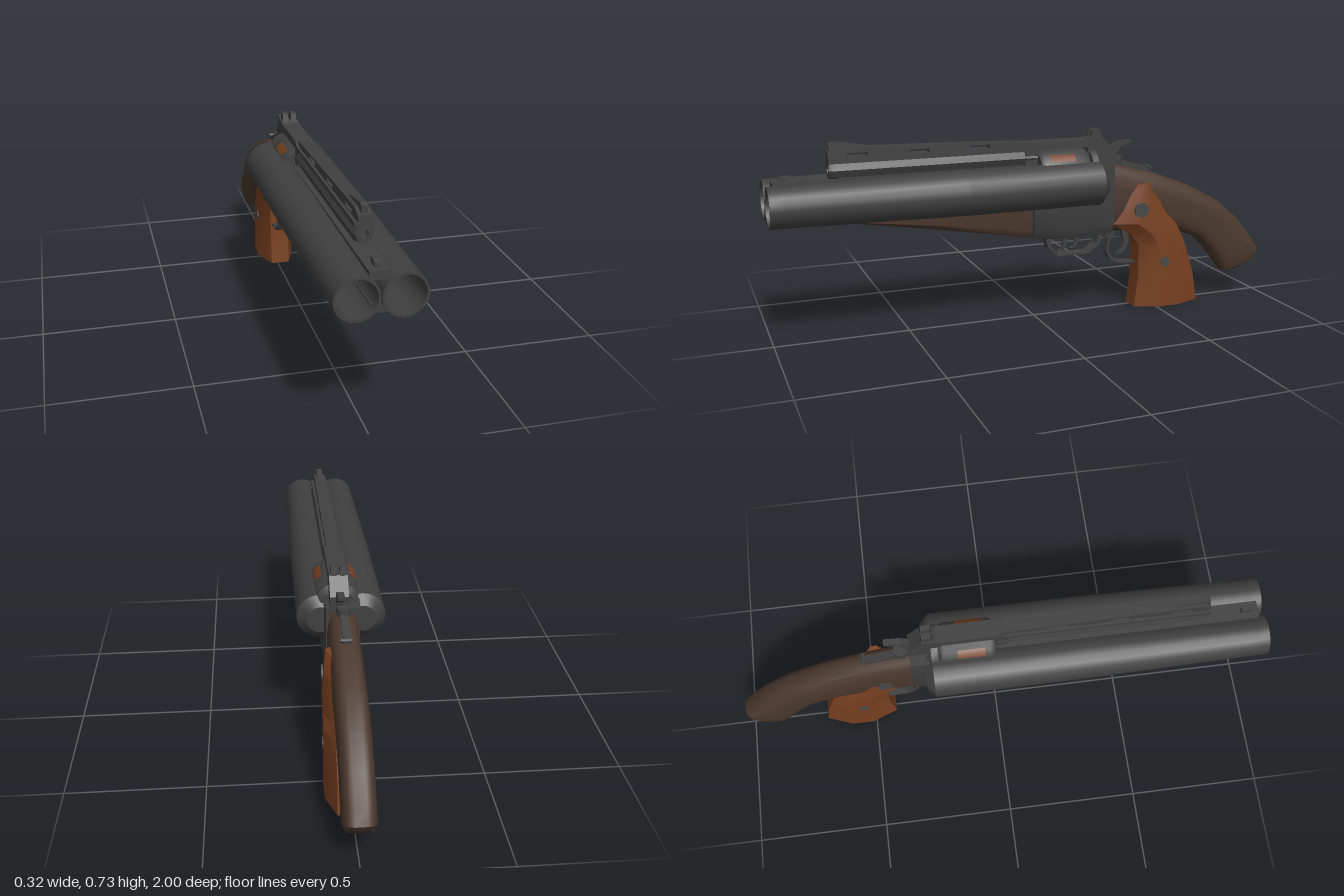
import * as THREE from 'three';
import { toCreasedNormals } from 'three/addons/utils/BufferGeometryUtils.js';

const material = (name, color) => {
  const m = new THREE.MeshStandardMaterial({ color });
  m.name = name;
  return m;
};
const CX = 0.012; // the upper revolver sits slightly off the centre line

// Soft rectangular and eight-sided cross-sections, counter-clockwise
const soft = Array.from({ length: 16 }, (_, i) => {
  const t = (i + 0.5) * Math.PI / 8;
  const p = v => Math.sign(v) * Math.abs(v) ** 0.65;
  return [p(Math.cos(t)), p(Math.sin(t))];
});
const octagon = [[1, -0.3], [1, 0.3], [0.5, 1], [-0.5, 1], [-1, 0.3], [-1, -0.3], [-0.5, -1], [0.5, -1]];
const chamfered = [[1, -0.65], [1, 1], [-1, 1], [-1, -0.65], [-0.68, -1], [0.68, -1]];

// Skin over sections { c: centre, u, v: half axes }, travelling along u x v
function loft(shape, sections, crease = 0.65) {
  const n = shape.length, pos = [], idx = [];
  for (const { c, u, v } of sections)
    for (const [a, b] of shape) pos.push(...c.map((k, i) => k + u[i] * a + v[i] * b));
  for (let s = 0; s < sections.length - 1; s++)
    for (let i = 0; i < n; i++) {
      const a = s * n + i, b = s * n + (i + 1) % n;
      idx.push(a, b, b + n, a, b + n, a + n);
    }
  const last = (sections.length - 1) * n;
  for (let i = 1; i < n - 1; i++) idx.push(0, i + 1, i, last, last + i, last + i + 1);
  const g = new THREE.BufferGeometry();
  g.setAttribute('position', new THREE.Float32BufferAttribute(pos, 3));
  g.setIndex(idx);
  return toCreasedNormals(g, crease);
}

// Section running rearward, from its top and bottom points in the side plane
const rearward = ([zt, yt, zb, yb, w]) => ({
  c: [0, (yt + yb) / 2, (zt + zb) / 2], u: [-w, 0, 0], v: [0, (yt - yb) / 2, (zt - zb) / 2],
});

// Plate cut from a [z, y] outline, with thickness across x
function plate(points, width, x = CX, holes = []) {
  const toV = list => list.map(([z, y]) => new THREE.Vector2(z, y));
  const shape = new THREE.Shape(toV(points));
  for (const h of holes) shape.holes.push(new THREE.Path(toV(h)));
  return new THREE.ExtrudeGeometry(shape, { depth: width, bevelEnabled: false })
    .rotateY(-Math.PI / 2).translate(x + width / 2, 0, 0);
}

// Open bow made from an outline and its copy shrunk toward a centre
const bow = (points, [cz, cy], k) =>
  [...points, ...points.map(([z, y]) => [cz + (z - cz) * k, cy + (y - cy) * k]).reverse()];

// Turned part along z from [radius, z] points
const turned = (points, sides) => toCreasedNormals(
  new THREE.LatheGeometry(points.map(p => new THREE.Vector2(...p)), sides).rotateX(Math.PI / 2), 0.6);

const crossCylinder = (r, length, y, z, x = CX) =>
  new THREE.CylinderGeometry(r, r, length, 12).rotateZ(Math.PI / 2).translate(x, y, z);

export function createModel() {
  const model = new THREE.Group();
  model.name = 'combinedToyGun';
  const metal = material('gunmetal', 0x404040);
  const darkWood = material('dark wood', 0x4a382d);
  const gripWood = material('orange wood', 0x763f20);
  const red = material('shell red', 0x8a2525);
  const steel = material('screw steel', 0x464747);
  const add = (name, geometry, mat = metal) => {
    const mesh = new THREE.Mesh(geometry, mat);
    mesh.name = name;
    model.add(mesh);
    return mesh;
  };

  // Twin barrels with hollow bores and shells at the breech
  for (const [side, x] of [['right', -0.075], ['left', 0.075]]) {
    add(side + 'Barrel', turned([
      [0, -0.268], [0.05, -0.266], [0.085, -0.235], [0.084, 0.3], [0.074, 0.95], [0.074, 1],
      [0.066, 1], [0.0635, 0.8], [0.0635, -0.16],
    ], 20)).position.set(x, 0.528, 0);
    add(side + 'Shell', new THREE.CircleGeometry(0.0635, 20), red).position.set(x, 0.528, -0.155);
  }

  // Webs between the barrels and the bead sight
  add('upperWeb', new THREE.BoxGeometry(0.066, 0.03, 1.2).translate(0, 0.588, 0.375));
  add('lowerWeb', new THREE.BoxGeometry(0.05, 0.03, 1.1).translate(0, 0.478, 0.42));
  add('beadSight', plate([[0.95, 0.6], [0.95, 0.617], [0.935, 0.622], [0.91, 0.622], [0.91, 0.6]], 0.014, -0.002));

  // Receiver and tapering fore-end
  add('receiver', loft(chamfered, [
    [0.02, 0.5, 0.02, 0.322, 0.064], [-0.11, 0.53, -0.11, 0.31, 0.065],
    [-0.24, 0.6, -0.24, 0.312, 0.065], [-0.315, 0.595, -0.315, 0.315, 0.06],
  ].map(rearward)));
  add('foreEnd', loft(chamfered, [
    [0.71, 0.475, 0.71, 0.44, 0.044], [0.4, 0.49, 0.4, 0.39, 0.044], [0.01, 0.49, 0.01, 0.322, 0.046],
  ].map(rearward)), darkWood);

  // Curved shoulder stock
  add('stock', loft(soft, [
    [-0.3, 0.592, -0.3, 0.315, 0.057], [-0.5, 0.542, -0.45, 0.315, 0.057],
    [-0.66, 0.48, -0.6, 0.3, 0.057], [-0.8, 0.405, -0.705, 0.256, 0.057],
    [-0.9, 0.32, -0.76, 0.203, 0.057], [-0.965, 0.24, -0.8, 0.15, 0.057],
    [-1, 0.19, -0.837, 0.1, 0.057], [-0.975, 0.148, -0.89, 0.106, 0.048],
  ].map(rearward)), darkWood);

  // Revolver grip, from [y, front z, rear z, half width]
  add('grip', loft(octagon, [
    [0, -0.415, -0.7, 0.075], [0.12, -0.43, -0.68, 0.075], [0.256, -0.43, -0.635, 0.075],
    [0.305, -0.395, -0.61, 0.074], [0.35, -0.315, -0.59, 0.072], [0.43, -0.35, -0.54, 0.067],
    [0.505, -0.41, -0.485, 0.06],
  ].map(([y, f, r, w]) => ({ c: [CX, y, (f + r) / 2], u: [w, 0, 0], v: [0, 0, (r - f) / 2] })), 0.5), gripWood);
  add('upperScrew', crossCylinder(0.03, 0.146, 0.405, -0.425), steel);
  add('lowerScrew', crossCylinder(0.02, 0.156, 0.187, -0.53), steel);

  // Revolver barrel and vented sighting rib
  add('revolverBarrel', turned([
    [0.036, 0], [0.036, 0.765], [0.03, 0.78], [0.015, 0.78], [0.013, 0.74], [0, 0.74],
  ], 8)).position.set(CX, 0.635, 0);
  add('barrelLug', new THREE.BoxGeometry(0.05, 0.035, 0.72).translate(CX, 0.618, 0.39));
  const vents = [0.64, 0.415, 0.185].map(z => [[z, 0.679], [z + 0.075, 0.679], [z + 0.075, 0.694], [z, 0.694]]);
  add('ventedRib', plate([
    [0.78, 0.65], [0.78, 0.7], [0.74, 0.714], [0.3, 0.704], [0.1, 0.698], [-0.02, 0.69], [-0.02, 0.65],
  ], 0.046, CX, vents));
  add('ribBase', new THREE.BoxGeometry(0.066, 0.016, 0.78).translate(CX, 0.668, 0.39));
  add('frontSight', plate([[0.775, 0.7], [0.775, 0.728], [0.755, 0.734], [0.64, 0.716], [0.64, 0.7]], 0.022));

  // Revolver frame around the cylinder window, with rear sight
  add('revolverFrame', plate([
    [0.05, 0.58], [0.05, 0.67], [0, 0.692], [-0.21, 0.692], [-0.225, 0.7], [-0.265, 0.7],
    [-0.315, 0.64], [-0.315, 0.5], [-0.205, 0.5], [-0.205, 0.662], [0, 0.662], [0, 0.58],
  ], 0.066));
  add('recoilShield', turned([[0, -0.255], [0.065, -0.255], [0.086, -0.235], [0.086, -0.21], [0, -0.21]], 16))
    .position.set(CX, 0.57, 0);
  for (const s of [-1, 1])
    add('rearSight', plate([[-0.22, 0.69], [-0.228, 0.727], [-0.262, 0.727], [-0.268, 0.69]], 0.02, CX + s * 0.016));

  // Cylinder with wooden-coloured flute panels
  add('cylinder', turned([[0, -0.2], [0.084, -0.2], [0.088, -0.19], [0.088, -0.02], [0.08, -0.005], [0, -0.005]], 18))
    .position.set(CX, 0.57, 0);
  for (const a of [-0.8, 0.8]) {
    const panel = new THREE.CylinderGeometry(0.09, 0.09, 0.1, 5, 1, true, a - 0.18, 0.36);
    add('flutePanel', panel.rotateX(Math.PI / 2).rotateZ(Math.PI).translate(CX, 0.57, -0.09), gripWood);
  }

  // Hammer and top lever
  add('hammer', plate([
    [-0.27, 0.6], [-0.29, 0.63], [-0.31, 0.652], [-0.34, 0.672], [-0.4, 0.677],
    [-0.4, 0.667], [-0.36, 0.657], [-0.336, 0.63], [-0.325, 0.57],
  ], 0.024));
  add('tang', plate([[-0.29, 0.58], [-0.3, 0.61], [-0.34, 0.602], [-0.48, 0.553], [-0.48, 0.53], [-0.3, 0.56]], 0.03, 0));
  add('topLever', plate([[-0.36, 0.585], [-0.36, 0.6], [-0.45, 0.572], [-0.495, 0.562], [-0.495, 0.552], [-0.44, 0.55]], 0.016, 0.004));
  add('leverPivot', new THREE.CylinderGeometry(0.025, 0.025, 0.03, 12).translate(0, 0.6, -0.345));
  add('leverThumbPiece', crossCylinder(0.008, 0.04, 0.562, -0.485, 0.004));

  // Trigger guards and triggers
  add('frontTriggerGuard', plate(bow([
    [-0.038, 0.315], [-0.05, 0.272], [-0.09, 0.238], [-0.22, 0.238], [-0.265, 0.27], [-0.277, 0.315],
  ], [-0.158, 0.315], 0.89), 0.044, 0.012));
  for (const z of [-0.1, -0.16])
    add('frontTrigger', plate([
      [z, 0.32], [z - 0.018, 0.285], [z - 0.01, 0.262], [z + 0.004, 0.255], [z - 0.018, 0.258], [z - 0.034, 0.282], [z - 0.03, 0.32],
    ], 0.016, z < -0.12 ? -0.012 : 0.012));
  add('rearTriggerGuard', plate(bow([
    [-0.335, 0.318], [-0.312, 0.285], [-0.303, 0.235], [-0.32, 0.202], [-0.355, 0.181], [-0.435, 0.172],
  ], [-0.42, 0.26], 0.91), 0.036, -0.002));
  add('rearTrigger', plate([
    [-0.37, 0.32], [-0.385, 0.265], [-0.375, 0.235], [-0.355, 0.213], [-0.385, 0.222], [-0.405, 0.26], [-0.405, 0.32],
  ], 0.02, 0));
  return model;
}
